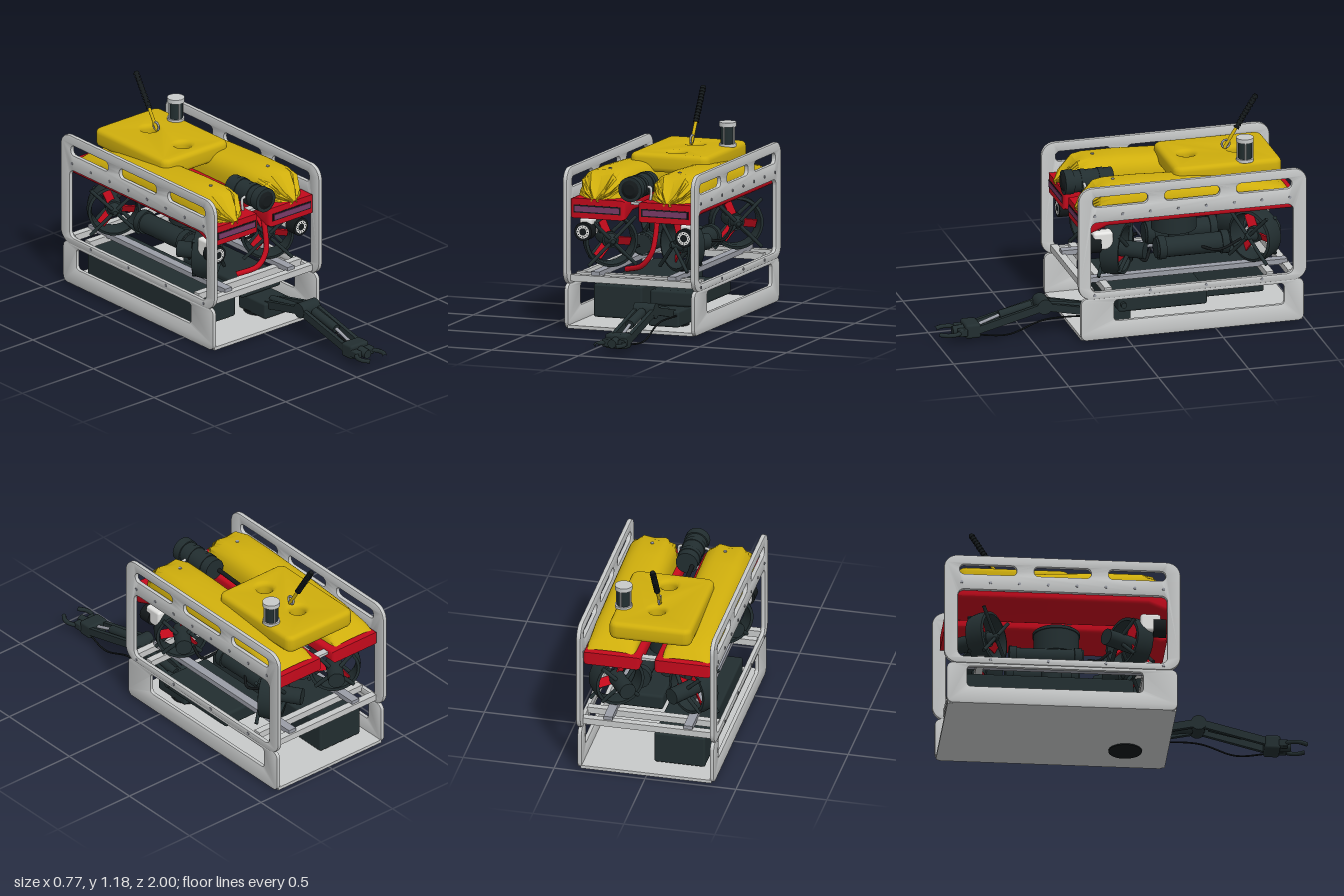
import * as THREE from 'three';
import { toCreasedNormals } from 'three/addons/utils/BufferGeometryUtils.js';
import { RoundedBoxGeometry } from 'three/addons/geometries/RoundedBoxGeometry.js';

const mat = (name, color) => Object.assign(new THREE.MeshStandardMaterial({ color }), { name });
const M = {
  yellow: mat('yellow foam', 0xcfae0c), red: mat('red foam', 0xc60a1c), grey: mat('light grey frame', 0xc8caca),
  dark: mat('dark housing', 0x222e30), black: mat('black rubber', 0x14191b), white: mat('white fittings', 0xe4e4e2),
  purple: mat('purple strip', 0x7a3a68), steel: mat('steel', 0x9a9da6),
};
M.yellow.side = THREE.DoubleSide;
const V = (x, y, z) => new THREE.Vector3(x, y, z);

function add(parent, name, geo, material, x = 0, y = 0, z = 0) {
  const m = new THREE.Mesh(geo, material);
  m.name = name;
  m.position.set(x, y, z);
  parent.add(m);
  return m;
}
// Box given by its limits on each axis
function box(parent, name, material, [x0, x1], [y0, y1], [z0, z1], r = 0) {
  const s = [x1 - x0, y1 - y0, z1 - z0];
  const geo = r ? new RoundedBoxGeometry(...s, 2, r) : new THREE.BoxGeometry(...s);
  return add(parent, name, geo, material, (x0 + x1) / 2, (y0 + y1) / 2, (z0 + z1) / 2);
}
// Cylinder between two points
function rod(parent, name, material, a, b, r, r2 = r, seg = 20) {
  const d = b.clone().sub(a);
  const m = add(parent, name, new THREE.CylinderGeometry(r2, r, d.length(), seg), material);
  m.position.copy(a).addScaledVector(d, 0.5);
  m.quaternion.setFromUnitVectors(V(0, 1, 0), d.normalize());
  return m;
}
function tube(parent, name, material, pts, r) {
  const curve = new THREE.CatmullRomCurve3(pts.map(p => V(...p)));
  return add(parent, name, new THREE.TubeGeometry(curve, 32, r, 8), material);
}
function roundRect(x0, y0, x1, y1, r, Type = THREE.Shape) {
  const s = new Type();
  s.moveTo(x0 + r, y0).lineTo(x1 - r, y0).absarc(x1 - r, y0 + r, r, -Math.PI / 2, 0);
  s.lineTo(x1, y1 - r).absarc(x1 - r, y1 - r, r, 0, Math.PI / 2);
  s.lineTo(x0 + r, y1).absarc(x0 + r, y1 - r, r, Math.PI / 2, Math.PI);
  s.lineTo(x0, y0 + r).absarc(x0 + r, y0 + r, r, Math.PI, Math.PI * 1.5);
  return s;
}
// Extrusion with overall depth d and a rounded rim that stays inside the outline
function slab(shape, d, bevel, steps = 3) {
  return toCreasedNormals(new THREE.ExtrudeGeometry(shape, {
    depth: d - 2 * bevel, bevelThickness: bevel, bevelSize: bevel, bevelOffset: -bevel, bevelSegments: steps, curveSegments: 10,
  }).translate(0, 0, bevel), 0.6);
}

// Side plates: outline is drawn in (-z, y), then turned to face sideways
function sidePlates(g) {
  const upper = roundRect(-0.27, 0.245, 1.0, 0.88, 0.075);
  upper.holes.push(roundRect(-0.2, 0.285, 0.925, 0.68, 0.035, THREE.Path));
  for (const u of [-0.19, 0.21, 0.61]) upper.holes.push(roundRect(u, 0.77, u + 0.305, 0.825, 0.024, THREE.Path));
  const lower = roundRect(-0.255, 0.01, 0.985, 0.25, 0.035);
  lower.holes.push(roundRect(-0.07, 0.11, 0.875, 0.228, 0.02, THREE.Path));
  for (const s of [-1, 1]) {
    add(g, 'upperSidePlate', slab(upper, 0.025, 0.006, 2).rotateY(Math.PI / 2), M.grey, s * 0.3675 - 0.0125);
    add(g, 'lowerSidePlate', slab(lower, 0.022, 0.004, 2).rotateY(Math.PI / 2), M.grey, s * 0.364 - 0.011);
    for (let i = 0; i < 8; i++) {
      const z = 0.18 - i * 0.155;
      rod(g, 'plateBolt', M.steel, V(s * 0.378, 0.72, z), V(s * 0.384, 0.72, z), 0.008, 0.008, 8);
      if (i % 2 === 0) rod(g, 'plateBolt', M.steel, V(s * 0.378, 0.268, z), V(s * 0.384, 0.268, z), 0.008, 0.008, 8);
    }
  }
}

// Red foam block with a drooping front lip
function redFloat(g, s) {
  const p = new THREE.Shape([[-0.235, 0.61], [-0.2, 0.605], [-0.1, 0.645], [0.96, 0.645], [0.96, 0.718], [-0.235, 0.718]]
    .map(([u, v]) => new THREE.Vector2(u, v)));
  add(g, 'redFloat', slab(p, 0.315, 0.02).rotateY(Math.PI / 2), M.red, s * 0.195 - 0.1575);
  const x = s * 0.195;
  box(g, 'stripBorder', M.black, [x - 0.135, x + 0.135], [0.64, 0.683], [0.23, 0.237]);
  box(g, 'frontStrip', M.purple, [x - 0.127, x + 0.127], [0.647, 0.676], [0.234, 0.24]);
}

// Yellow pod: domed sections along z, closed by a pleated nose
function yellowPod(g, s) {
  const n = 20, cx = s * 0.208, base = 0.705, pos = [], idx = [];
  const rows = [[-0.93, 0.13, 0.02], [-0.88, 0.135, 0.06], [-0.7, 0.137, 0.105], [-0.4, 0.135, 0.135], [-0.1, 0.135, 0.15],
    [0.07, 0.137, 0.15], [0.13, 0.132, 0.14, 0.1], [0.2, 0.085, 0.07, 0.35], [0.243, 0.012, 0.015]];
  for (const [z, hw, h, pleat = 0] of rows) for (let j = 0; j <= n; j++) {
    const t = Math.PI * j / n, c = Math.cos(t), k = 1 - pleat * (j % 4 === 2 ? 1 : j % 2 ? 0.5 : 0);
    pos.push(cx + hw * k * Math.sign(c) * Math.abs(c) ** 0.65, base + h * k * Math.sin(t) ** 0.65, z);
  }
  for (let i = 0; i < rows.length - 1; i++) for (let j = 0; j < n; j++) {
    const a = i * (n + 1) + j, c = a + n + 1;
    idx.push(a, a + 1, c, a + 1, c + 1, c);
  }
  const geo = new THREE.BufferGeometry();
  geo.setAttribute('position', new THREE.Float32BufferAttribute(pos, 3));
  geo.setIndex(idx);
  add(g, 'yellowPod', toCreasedNormals(geo, 0.45), M.yellow);
  rod(g, 'podBolt', M.steel, V(s * 0.2, 0.85, 0.03), V(s * 0.2, 0.859, 0.03), 0.01, 0.01, 8);
}

// Ducted thruster, its axis turned by yaw
function thruster(g, x, z, yaw) {
  const t = new THREE.Group();
  t.name = 'thruster';
  const ring = [[0.122, -0.05], [0.138, -0.05], [0.146, 0], [0.143, 0.05], [0.128, 0.055], [0.12, 0.02], [0.122, -0.05]];
  const duct = new THREE.LatheGeometry(ring.map(p => new THREE.Vector2(...p)), 36).rotateX(Math.PI / 2);
  add(t, 'duct', toCreasedNormals(duct, 0.6), M.dark);
  rod(t, 'motor', M.dark, V(0, 0, -0.16), V(0, 0, 0.02), 0.045);
  rod(t, 'hub', M.dark, V(0, 0, 0.02), V(0, 0, 0.08), 0.036, 0.012);
  for (let i = 0; i < 4; i++) {
    const a = Math.PI * (i / 2 + 0.25), c = Math.cos(a), d = Math.sin(a);
    rod(t, 'strut', M.dark, V(c * 0.03, d * 0.03, -0.07), V(c * 0.145, d * 0.145, -0.045), 0.011, 0.011, 8);
    rod(t, 'guardBar', M.dark, V(c * 0.02, d * 0.02, 0.06), V(c * 0.185, d * 0.185, 0.06), 0.01, 0.01, 8);
  }
  for (let i = 0; i < 3; i++) {
    const hold = new THREE.Group();
    hold.name = 'propellerBlade';
    add(hold, 'blade', new THREE.BoxGeometry(0.05, 0.085, 0.008), M.red, 0, 0.072, 0).rotation.y = 0.5;
    hold.rotation.z = i * Math.PI * 2 / 3 + 0.4;
    t.add(hold);
  }
  t.position.set(x, 0.465, z);
  t.rotation.y = yaw;
  g.add(t);
}

function lamp(g, s) {
  const x = s * 0.29, y = 0.53;
  box(g, 'lampBracket', M.white, [x - 0.035, x + 0.035], [0.5, 0.6], [0.06, 0.17], 0.015);
  rod(g, 'lampBody', M.black, V(x, y, 0.13), V(x, y, 0.2), 0.05, 0.05, 28);
  add(g, 'lampRing', new THREE.RingGeometry(0.02, 0.036, 28), M.white, x, y, 0.202);
  for (let i = 0; i < 12; i++) {
    const a = i * Math.PI / 6;
    add(g, 'lampCell', new THREE.CircleGeometry(0.0035, 6), M.black, x + Math.cos(a) * 0.028, y + Math.sin(a) * 0.028, 0.204);
  }
}

function arm(g) {
  const x = 0.155;
  rod(g, 'armTurntable', M.black, V(x, 0.003, 0.02), V(x, 0.045, 0.02), 0.09, 0.09, 32);
  box(g, 'shoulder', M.dark, [x - 0.085, x + 0.09], [0.035, 0.125], [-0.06, 0.16], 0.012);
  box(g, 'armHousing', M.dark, [0.025, 0.3], [0.125, 0.21], [-0.47, 0.025], 0.015);
  rod(g, 'housingKnob', M.dark, V(0.3, 0.17, 0), V(0.322, 0.17, 0), 0.016);
  const J = [[0.1, 0.1], [0.41, 0.165], [0.8, 0.065]];
  for (const s of [-1, 1]) {
    const o = x + s * 0.048;
    for (let i = 0; i < 2; i++) {
      const a = V(o, J[i][0 + 1], J[i][0]), b = V(o, J[i + 1][1], J[i + 1][0]);
      const link = box(g, 'armLink', M.dark, [-0.011, 0.011], [-0.021, 0.021], [0, a.distanceTo(b)]);
      link.position.copy(a).lerp(b, 0.5);
      link.lookAt(b);
    }
    tube(g, 'clawFinger', M.dark, [[x + s * 0.025, 0.062, 0.86], [x + s * 0.07, 0.062, 0.9], [x + s * 0.075, 0.062, 0.95], [x + s * 0.05, 0.062, 0.992]], 0.012);
    box(g, 'clawPivot', M.dark, [x + s * 0.045 - 0.02, x + s * 0.045 + 0.02], [0.042, 0.082], [0.84, 0.89], 0.006);
  }
  rod(g, 'elbow', M.dark, V(x - 0.06, 0.165, 0.41), V(x + 0.06, 0.165, 0.41), 0.042);
  rod(g, 'lowerActuator', M.dark, V(x, 0.12, 0.12), V(x, 0.15, 0.38), 0.022);
  rod(g, 'upperActuator', M.dark, V(x, 0.165, 0.47), V(x, 0.125, 0.65), 0.024);
  rod(g, 'actuatorRod', M.steel, V(x, 0.125, 0.65), V(x, 0.08, 0.78), 0.009);
  box(g, 'wrist', M.dark, [x - 0.065, x + 0.06], [0.025, 0.105], [0.765, 0.85], 0.014);
  rod(g, 'gripperBody', M.dark, V(x, 0.065, 0.8), V(x, 0.062, 0.91), 0.03, 0.024);
  tube(g, 'armCable', M.black, [[x + 0.075, 0.1, 0.15], [x + 0.075, 0.1, 0.42], [x + 0.07, 0.035, 0.62], [x + 0.04, 0.04, 0.79]], 0.005);
}

export function createModel() {
  const g = new THREE.Group();
  g.name = 'underwaterVehicle';
  sidePlates(g);

  // Lower tray, cross bars and rails
  box(g, 'trayFloor', M.grey, [-0.36, 0.36], [0.01, 0.028], [-0.98, 0.25]);
  box(g, 'batteryBox', M.dark, [-0.3, -0.02], [0.04, 0.22], [-0.875, 0.025], 0.012);
  for (const z of [0.2, 0.1, -0.8, -0.92]) box(g, 'crossBar', M.grey, [-0.36, 0.36], [0.262, 0.298], [z - 0.02, z + 0.02]);
  for (const s of [-1, 1]) box(g, 'rail', M.steel, [s * 0.22 - 0.024, s * 0.22 + 0.024], [0.29, 0.318], [-0.93, 0.2]);
  for (const z of [0.12, -0.3, -0.9]) box(g, 'upperCrossBar', M.grey, [-0.36, 0.36], [0.685, 0.7], [z - 0.02, z + 0.02]);

  for (const s of [-1, 1]) {
    redFloat(g, s);
    yellowPod(g, s);
    thruster(g, s * 0.21, 0.01, -s * 0.6);
    thruster(g, s * 0.21, -0.76, s * 0.6);
    lamp(g, s);
    // Electronics bottles with pale end rings
    const x = s * 0.12;
    rod(g, 'electronicsBottle', M.dark, V(x, 0.405, -0.62), V(x, 0.405, -0.23), 0.055);
    for (const z of [-0.61, -0.26]) rod(g, 'bottleFlange', M.dark, V(x, 0.405, z - 0.02), V(x, 0.405, z + 0.02), 0.064);
    add(g, 'bottleRing', new THREE.RingGeometry(0.044, 0.056, 28), M.steel, x, 0.405, -0.236);
    tube(g, 'cameraBracket', M.grey, [[s * 0.06, 0.7, 0.13], [s * 0.078, 0.72, 0.15], [s * 0.08, 0.785, 0.15], [s * 0.06, 0.79, 0.15]], 0.008);
  }

  // Vertical thruster in the middle
  rod(g, 'verticalDuct', M.dark, V(0, 0.47, -0.365), V(0, 0.61, -0.365), 0.122, 0.122, 36);
  rod(g, 'verticalDuctRim', M.dark, V(0, 0.59, -0.365), V(0, 0.605, -0.365), 0.128, 0.128, 36);
  rod(g, 'verticalMotor', M.dark, V(0, 0.32, -0.39), V(0, 0.47, -0.39), 0.055);

  // Canopy with two flared wells
  const top = roundRect(-0.228, 0.31, 0.225, 0.91, 0.045);
  for (const v of [0.435, 0.71]) top.holes.push(new THREE.Path().absarc(0, v, 0.042, 0, Math.PI * 2));
  add(g, 'canopy', slab(top, 0.1, 0.026, 4).rotateX(-Math.PI / 2), M.yellow, 0, 0.785, 0);
  rod(g, 'wellPlug', M.dark, V(0, 0.74, -0.435), V(0, 0.8, -0.435), 0.035);

  // Camera barrel
  for (const [z0, z1, r] of [[-0.02, 0.2, 0.06], [0.2, 0.25, 0.067], [0.03, 0.06, 0.064], [0.13, 0.16, 0.064]])
    rod(g, 'cameraBarrel', M.dark, V(0, 0.785, z0), V(0, 0.785, z1), r, r, 32);
  rod(g, 'cameraLens', M.black, V(0, 0.785, 0.25), V(0, 0.785, 0.262), 0.05, 0.03, 32);
  rod(g, 'cameraPlug', M.black, V(-0.03, 0.76, -0.2), V(-0.03, 0.77, -0.02), 0.012);

  // Beacon
  const bx = 0.185, bz = -0.71;
  for (const [m, y0, y1, r] of [[M.grey, 0.88, 0.897, 0.047], [M.dark, 0.897, 0.99, 0.038], [M.grey, 0.99, 1.014, 0.047]])
    rod(g, 'beacon', m, V(bx, y0, bz), V(bx, y1, bz), r, r, 28);
  for (let i = 0; i < 4; i++) {
    const a = i * Math.PI / 2 + 0.2, px = bx + Math.cos(a) * 0.04, pz = bz + Math.sin(a) * 0.04;
    rod(g, 'beaconPost', M.grey, V(px, 0.89, pz), V(px, 0.995, pz), 0.005, 0.005, 8);
  }

  // Tether with eyelet and ribbed boot
  const t0 = V(0, 0.89, -0.645), t1 = V(0, 1.0, -0.713), t2 = V(0, 1.18, -0.825);
  add(g, 'eyelet', new THREE.TorusGeometry(0.022, 0.006, 8, 24).rotateY(Math.PI / 2), M.steel, 0, 0.915, -0.655);
  rod(g, 'tether', M.yellow, t0, t1, 0.009);
  rod(g, 'tetherBoot', M.black, t1, t2, 0.011);
  for (let i = 0; i < 12; i++)
    rod(g, 'bootRib', M.black, t1.clone().lerp(t2, i / 12), t1.clone().lerp(t2, (i + 0.6) / 12), 0.017, 0.015, 14);

  // Hoses
  tube(g, 'redHose', M.red, [[0.1, 0.64, 0.1], [0.1, 0.52, 0.13], [0.085, 0.43, 0.15], [0.03, 0.36, 0.15], [-0.08, 0.325, 0.1]], 0.015);
  for (const s of [-1, 1])
    tube(g, 'cable', M.black, [[s * 0.12, 0.405, -0.2], [s * 0.2, 0.37, -0.15], [s * 0.21, 0.42, -0.09]], 0.008);
  tube(g, 'rearCable', M.black, [[0.12, 0.42, -0.42], [0.22, 0.4, -0.55], [0.22, 0.45, -0.68]], 0.008);

  arm(g);
  return g;
}
